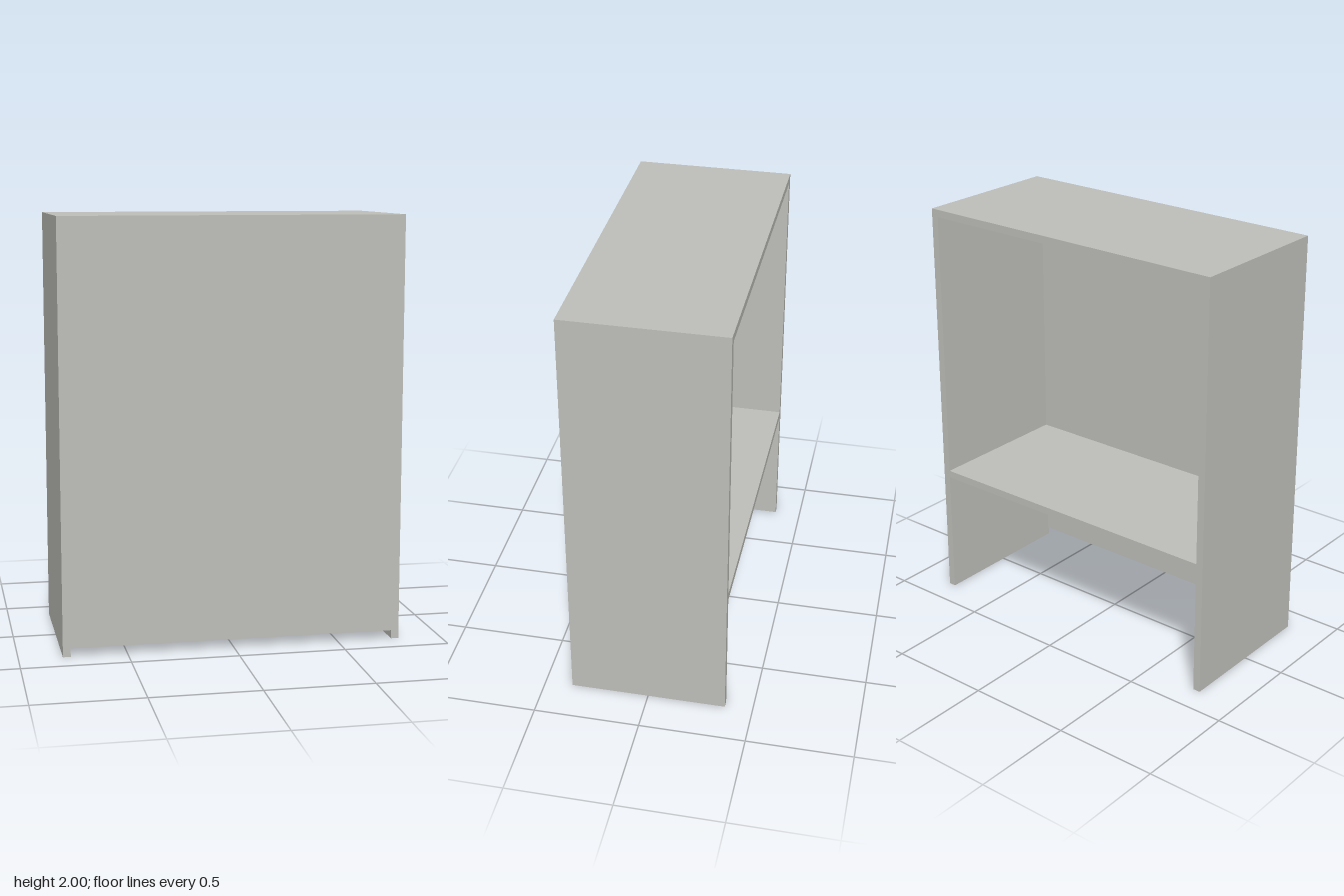
import * as THREE from 'three';

const W = 1.596, H = 2, D = 0.738; // overall size
const T = 0.036;                   // board thickness
const PANEL = 0.007;               // thin front panel thickness

export function createModel() {
  const group = new THREE.Group();
  group.name = 'shelfCabinet';
  const grey = new THREE.MeshStandardMaterial({ color: 0xbebeb9 });
  grey.name = 'warmGrey';

  // Board given by its size and centre
  const board = (name, w, h, d, x, y, z) => {
    const mesh = new THREE.Mesh(new THREE.BoxGeometry(w, h, d), grey);
    mesh.name = name;
    mesh.position.set(x, y, z);
    group.add(mesh);
  };

  const inner = W - 2 * T;

  // Side boards reach the floor
  for (const [name, s] of [['leftSide', 1], ['rightSide', -1]]) {
    board(name, T, H, D, s * (W - T) / 2, H / 2, 0);
  }

  // Top board and the single shelf, open towards the back
  board('top', inner, T, D, 0, H - T / 2, 0);
  board('shelf', inner, T, D - PANEL, 0, 0.655 - T / 2, -PANEL / 2);

  // Thin front panel, stopping short of the floor
  const bottom = 0.04, height = H - T - bottom;
  board('frontPanel', inner, height, PANEL, 0, bottom + height / 2, (D - PANEL) / 2);

  return group;
}
